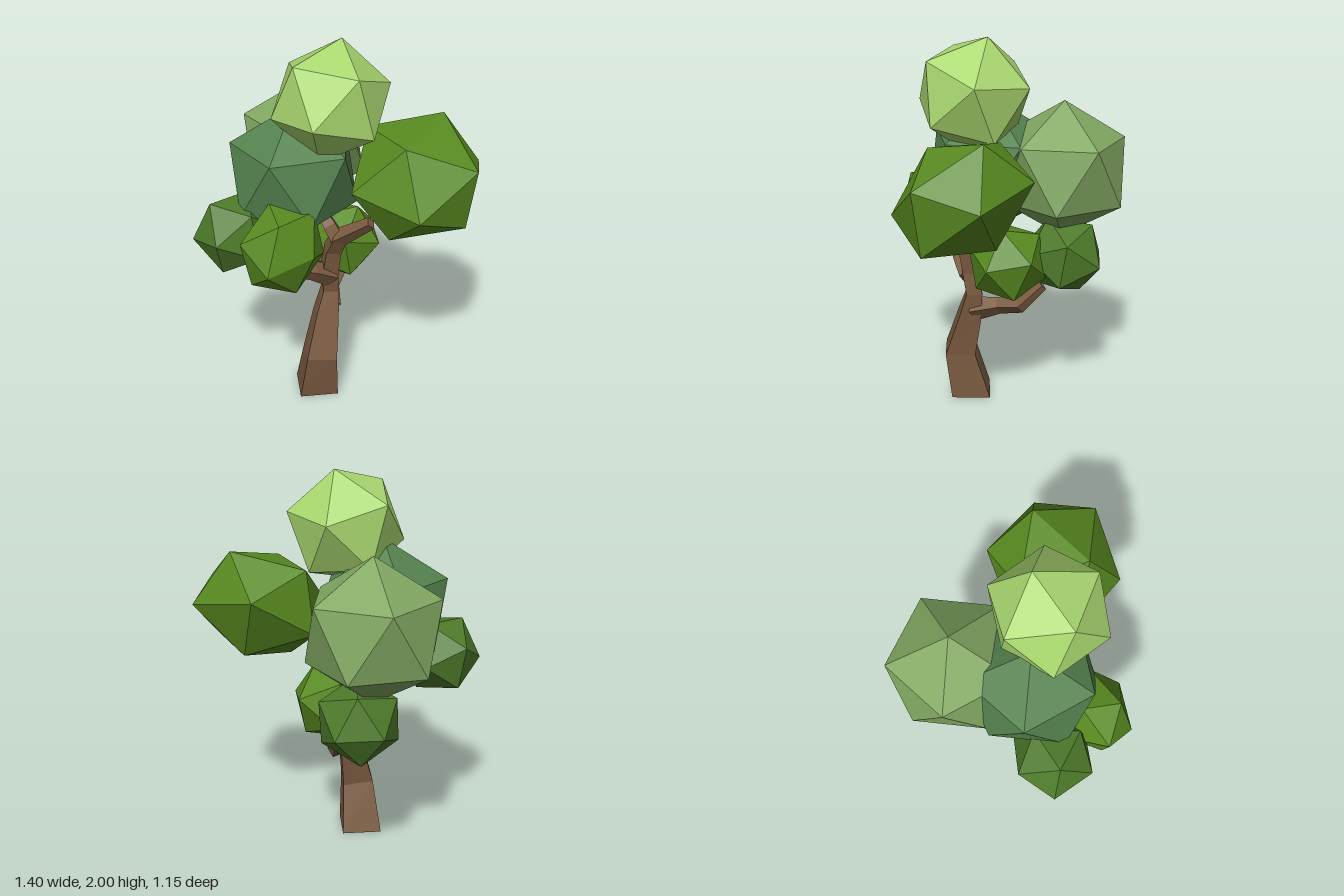
import * as THREE from 'three';

const mat = (name, color) => {
  const m = new THREE.MeshStandardMaterial({ color });
  m.name = name;
  return m;
};
const vec = (a) => new THREE.Vector3(a[0], a[1], a[2]);

// Four-sided limb swept through [x, y, z, radius] points, with closed ends
function limbGeometry(points) {
  const p = points.map(vec);
  const u = new THREE.Vector3(1, 0, 0);
  const rings = p.map((c, i) => {
    const t = new THREE.Vector3();
    if (i > 0) t.add(c.clone().sub(p[i - 1]).normalize());
    if (i < p.length - 1) t.add(p[i + 1].clone().sub(c).normalize());
    if (c.y === 0) t.set(0, 1, 0); // level foot
    t.normalize();
    u.addScaledVector(t, -u.dot(t)).normalize();
    const v = t.clone().cross(u);
    return [0, 1, 2, 3].map((k) => c.clone()
      .addScaledVector(u, points[i][3] * Math.cos(k * Math.PI / 2))
      .addScaledVector(v, points[i][3] * Math.sin(k * Math.PI / 2)));
  });
  const tris = [];
  for (let i = 0; i < rings.length - 1; i++) {
    for (let k = 0; k < 4; k++) {
      const n = (k + 1) % 4, a = rings[i], b = rings[i + 1];
      tris.push(a[k], a[n], b[n], a[k], b[n], b[k]);
    }
  }
  const s = rings[0], e = rings[rings.length - 1];
  tris.push(s[0], s[2], s[1], s[0], s[3], s[2], e[0], e[1], e[2], e[0], e[2], e[3]);
  const g = new THREE.BufferGeometry().setFromPoints(tris);
  g.computeVertexNormals(); // unshared corners give flat facets
  return g;
}

// Regular icosahedron turned so that two neighbouring corners point along a and b
function roundLeaves(radius, a, b) {
  const va = vec(a).normalize(), vb = vec(b).normalize();
  const y = va.clone().add(vb).normalize();
  const x = va.clone().sub(vb);
  x.addScaledVector(y, -x.dot(y)).normalize();
  const z = x.clone().cross(y);
  return new THREE.IcosahedronGeometry(radius, 0)
    .applyMatrix4(new THREE.Matrix4().makeBasis(x, y, z));
}

// Flattened icosahedron with one face at corners a, b, c (counter-clockwise from outside)
function flatLeaves(a, b, c) {
  const g = new THREE.IcosahedronGeometry(1, 0);
  const pos = g.attributes.position;
  const [s0, s1, s2] = [0, 1, 2].map((i) => new THREE.Vector3().fromBufferAttribute(pos, i));
  const from = new THREE.Matrix4().makeBasis(s0, s1, s2).invert();
  g.applyMatrix4(new THREE.Matrix4().makeBasis(vec(a), vec(b), vec(c)).multiply(from));
  g.computeVertexNormals();
  return g;
}

export function createModel() {
  const tree = new THREE.Group();
  tree.name = 'tree';
  const bark = mat('bark brown', 0x7a5a40);
  const lime = mat('lime leaves', 0xaad870);
  const sage = mat('sage leaves', 0x82a862);
  const pine = mat('pine leaves', 0x55824f);
  const olive = mat('olive leaves', 0x588a20);
  const moss = mat('moss leaves', 0x4e7a2a);

  const add = (name, geometry, material, at = [0, 0, 0]) => {
    const m = new THREE.Mesh(geometry, material);
    m.name = name;
    m.position.set(...at);
    tree.add(m);
  };

  // Trunk bends up into the main branch
  add('trunk', limbGeometry([
    [-0.03, 0, 0.078, 0.148], [0.02, 0.265, 0.11, 0.115], [0.01, 0.49, 0.045, 0.085],
    [0.012, 0.63, 0.01, 0.06], [0.02, 0.75, 0.03, 0.06], [0.05, 0.9, 0.037, 0.057],
    [0.1, 0.99, 0.05, 0.052], [0.275, 1.115, 0.015, 0.033],
  ]), bark);

  // Side branches
  add('frontBranch', limbGeometry([
    [0.03, 0.725, 0.025, 0.065], [-0.01, 0.785, 0.13, 0.052], [-0.14, 0.845, 0.305, 0.03],
  ]), bark);
  add('backBranch', limbGeometry([
    [0.01, 0.525, 0.025, 0.07], [-0.065, 0.56, -0.1, 0.046],
    [-0.1, 0.585, -0.22, 0.04], [-0.19, 0.7, -0.3, 0.027],
  ]), bark);
  add('upperStub', limbGeometry([
    [0.09, 0.97, 0.045, 0.052], [0.045, 1.05, 0.06, 0.045], [0.005, 1.1, 0.06, 0.035],
  ]), bark);

  // Foliage: name, material, centre, shape
  const up = [0, 1, 0], ringCorner = [0.894, 0.447, 0];
  const clumps = [
    ['topLeaves', lime, [0.016, 1.71, 0.012],
      roundLeaves(0.309, [-0.004, 0.29, -0.1], [-0.064, 0.21, 0.215])],
    ['backRightLeaves', sage, [-0.374, 1.295, -0.26], roundLeaves(0.366, up, ringCorner)],
    ['middleLeaves', pine, [-0.173, 1.295, 0.075], roundLeaves(0.366, up, ringCorner)],
    ['leftLeaves', olive, [0.36, 1.295, -0.26],
      flatLeaves([0.035, 0.305, -0.18], [0.048, 0.225, 0.185], [0.34, 0.11, -0.025])],
    ['frontLeaves', olive, [-0.016, 1.025, 0.366],
      flatLeaves([0.195, 0.01, -0.005], [0.066, 0.187, 0.103], [0.066, -0.06, 0.197])],
    ['frontRightLeaves', moss, [-0.338, 1.015, 0.362],
      roundLeaves(0.222, [0.073, 0.02, 0.208], [-0.165, -0.03, 0.148])],
    ['lowerBackLeaves', olive, [-0.05, 0.84, -0.175],
      roundLeaves(0.22, [-0.09, -0.205, 0.035], [0.14, -0.14, 0.1])],
    ['lowerRightLeaves', moss, [-0.337, 0.845, -0.317],
      roundLeaves(0.224, [-0.06, -0.2, -0.06], [-0.215, -0.02, -0.07])],
  ];
  for (const [name, material, at, shape] of clumps) add(name, shape, material, at);
  return tree;
}
